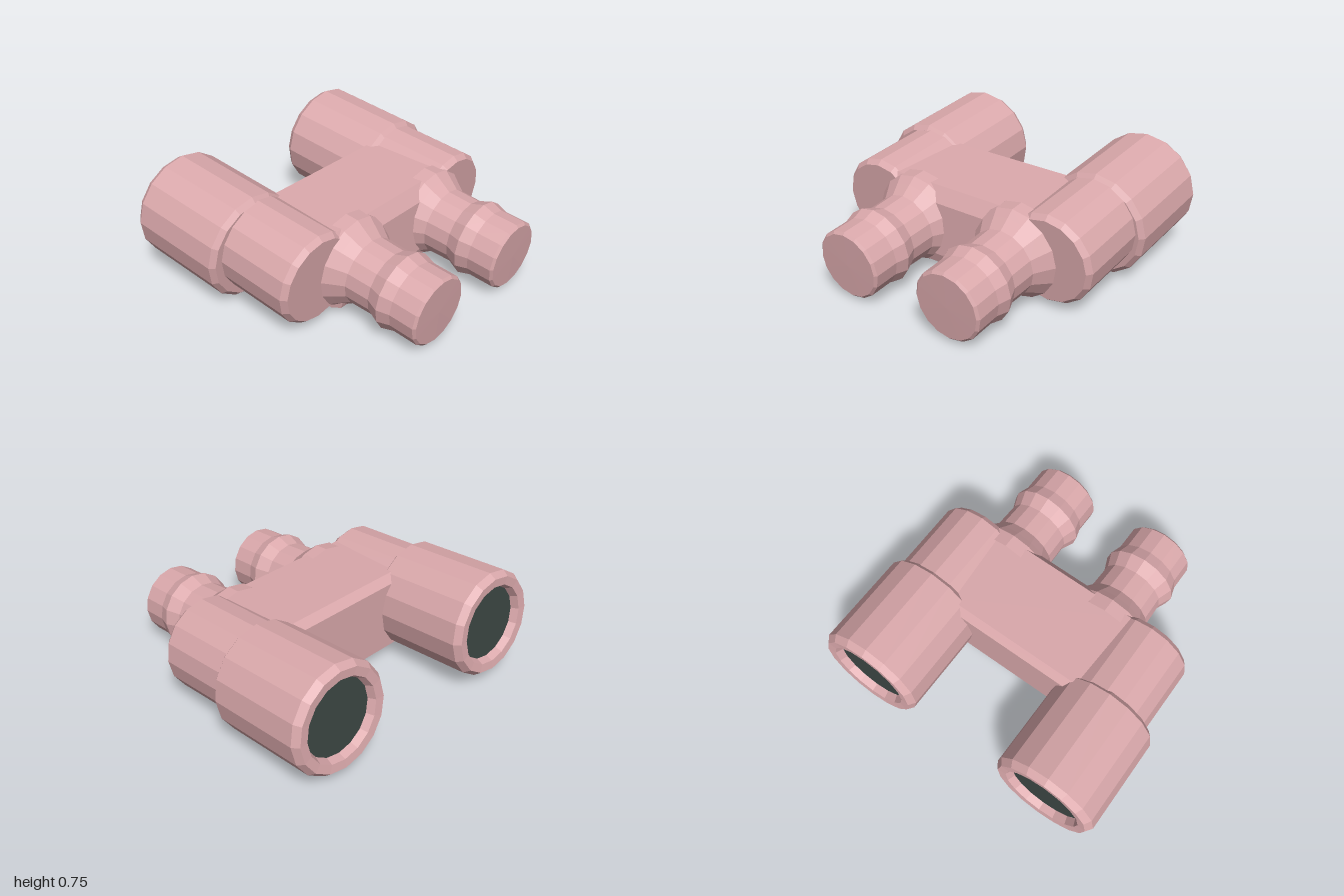
import * as THREE from 'three';

const SIDES = 16;

export function createModel() {
  const model = new THREE.Group();
  model.name = 'binoculars';
  const casing = new THREE.MeshStandardMaterial({ color: 0xdba9ac });
  casing.name = 'pink casing';
  casing.flatShading = true;
  const glass = new THREE.MeshStandardMaterial({ color: 0x3b4542 });
  glass.name = 'dark glass';

  const add = (parent, name, geometry, material, x = 0, y = 0, z = 0) => {
    const mesh = new THREE.Mesh(geometry, material);
    mesh.name = name;
    mesh.position.set(x, y, z);
    parent.add(mesh);
  };
  // Round part along z; profile is [radius, z] from back to front
  const turned = (profile) => new THREE.LatheGeometry(
    profile.map(([r, z]) => new THREE.Vector2(r, z)), SIDES).rotateX(Math.PI / 2);

  // Both tubes tilt up towards the large lenses
  const optics = new THREE.Group();
  optics.name = 'optics';
  optics.position.y = 0.322;
  optics.rotation.x = 0.092;
  model.add(optics);

  // Large barrel with a chamfered, hollow rim
  const objective = turned([[0.24, -0.865], [0.26, -0.912], [0.315, -0.917], [0.345, -0.875],
    [0.345, -0.25], [0.315, -0.22], [0.2, -0.22]]);
  // Prism housing behind the eyepiece
  const housing = turned([[0.295, -0.3], [0.298, 0.26], [0.27, 0.295], [0, 0.295]]);
  // Eyepiece with a flared root and a raised ring
  const eyepiece = turned([[0.3, 0.2], [0.3, 0.29], [0.265, 0.34], [0.218, 0.41], [0.213, 0.58],
    [0.25, 0.67], [0.226, 0.75], [0.226, 0.915], [0.21, 0.93], [0, 0.932]]);
  const lens = new THREE.CircleGeometry(0.242, SIDES).rotateY(Math.PI);

  for (const side of [-1, 1]) {
    const label = side < 0 ? 'right' : 'left';
    add(optics, label + 'ObjectiveBarrel', objective, casing, side * 0.655);
    add(optics, label + 'Lens', lens, glass, side * 0.655, 0, -0.864);
    add(optics, label + 'Housing', housing, casing, side * 0.64 + 0.013, 0.025);
    add(optics, label + 'Eyepiece', eyepiece, casing, side * 0.375 + 0.05);
  }

  // Bridge: side outline [z, y] swept across x
  const outline = [[-0.3, 0.07], [-0.24, 0.025], [0.25, 0.025], [0.33, 0.06], [0.352, 0.13],
    [0.345, 0.48], [0.29, 0.575], [-0.26, 0.6], [-0.305, 0.55]];
  const shape = new THREE.Shape(outline.map(([z, y]) => new THREE.Vector2(-z, y)));
  const bridge = new THREE.ExtrudeGeometry(shape, { depth: 1.0, bevelEnabled: false });
  bridge.translate(0, 0, -0.5).rotateY(Math.PI / 2);
  add(model, 'bridge', bridge, casing, 0.01);

  return model;
}
